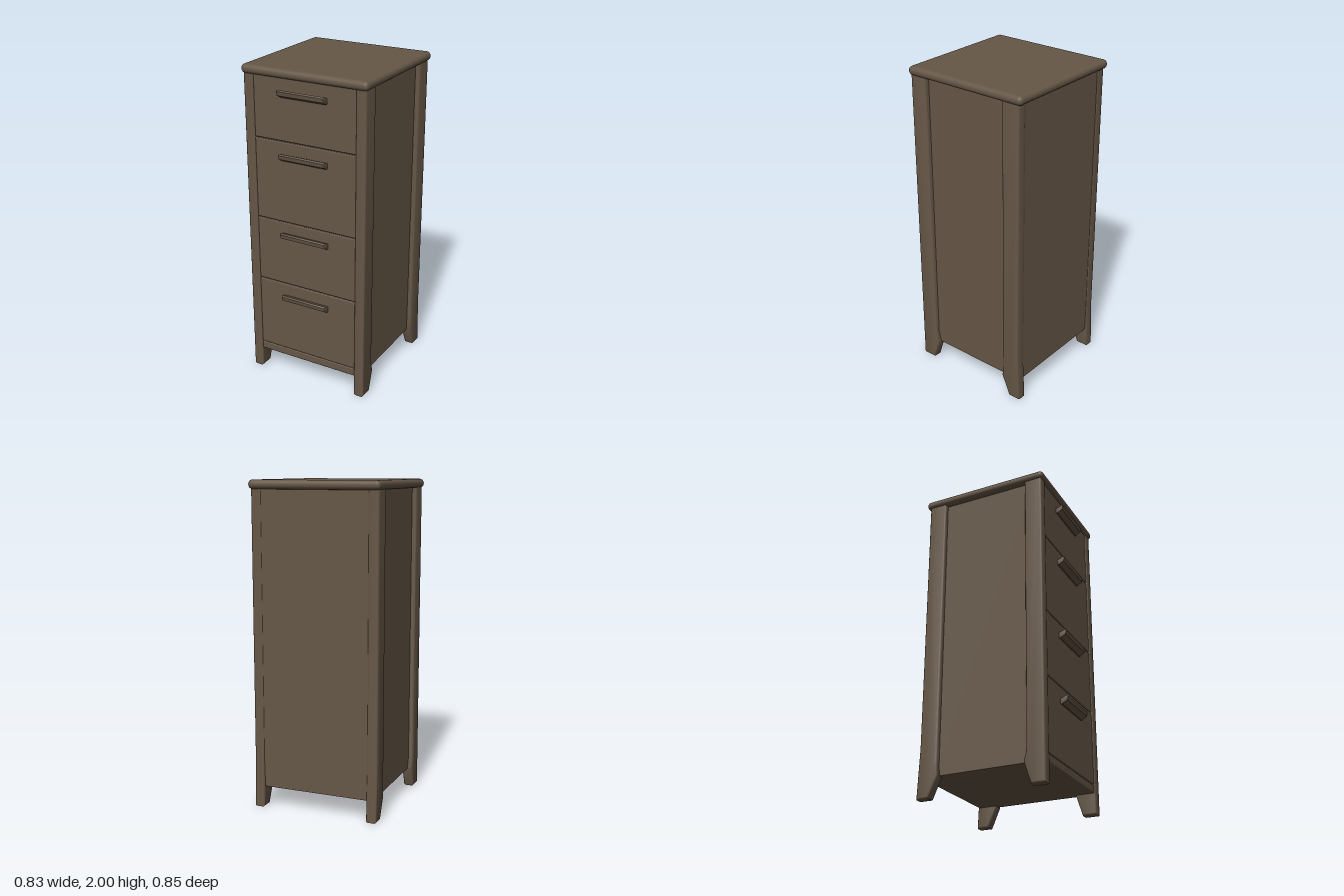
import * as THREE from 'three';
import { toCreasedNormals } from 'three/addons/utils/BufferGeometryUtils.js';
import { RoundedBoxGeometry } from 'three/addons/geometries/RoundedBoxGeometry.js';

export function createModel() {
  const model = new THREE.Group();
  model.name = 'drawerCabinet';
  const wood = new THREE.MeshStandardMaterial({ color: 0x665747 });
  wood.name = 'brown wood';

  const add = (name, geometry, x = 0, y = 0, z = 0) => {
    const mesh = new THREE.Mesh(geometry, wood);
    mesh.name = name;
    mesh.position.set(x, y, z);
    model.add(mesh);
    return mesh;
  };

  // Box given by its limits, with rounded edges if r > 0
  const box = (name, x0, x1, y0, y1, z0, z1, r = 0) => {
    const size = [x1 - x0, y1 - y0, z1 - z0];
    const geometry = r > 0 ? new RoundedBoxGeometry(...size, 3, r) : new THREE.BoxGeometry(...size);
    return add(name, geometry, (x0 + x1) / 2, (y0 + y1) / 2, (z0 + z1) / 2);
  };

  // Side profile of [z, y] points, extruded along x with soft edges
  const profile = (points, width, bevel) => {
    const shape = new THREE.Shape(points.map(([z, y]) => new THREE.Vector2(z, y)));
    const geometry = new THREE.ExtrudeGeometry(shape, {
      depth: width - 2 * bevel, bevelEnabled: true, bevelThickness: bevel,
      bevelSize: bevel, bevelOffset: -bevel, bevelSegments: 3,
    });
    geometry.translate(0, 0, -(width - 2 * bevel) / 2);
    geometry.rotateY(-Math.PI / 2);
    return toCreasedNormals(geometry, 0.6);
  };

  // Table top
  box('top', -0.413, 0.413, 1.945, 2, -0.425, 0.402, 0.026);

  // Corner posts with tapered feet
  const frontPost = profile([
    [0.3, 0], [0.388, 0], [0.388, 1.96], [0.275, 1.96], [0.275, 0.2], [0.258, 0.13],
  ], 0.066, 0.012);
  const backPost = profile([
    [-0.415, 0], [-0.338, 0], [-0.282, 0.13], [-0.286, 0.2], [-0.286, 1.96], [-0.402, 1.96], [-0.402, 0.3],
  ], 0.066, 0.012);
  for (const [side, s] of [['left', 1], ['right', -1]]) {
    add(side + 'FrontPost', frontPost, s * 0.368);
    add(side + 'BackPost', backPost, s * 0.368);
    // Recessed side panel
    box(side + 'Panel', s * 0.36 - 0.012, s * 0.36 + 0.012, 0.13, 1.95, -0.32, 0.32);
  }

  // Back panel, floor, carcass front and bottom rail
  box('backPanel', -0.35, 0.35, 0.13, 1.95, -0.398, -0.37);
  box('floor', -0.36, 0.36, 0.13, 0.16, -0.38, 0.365);
  box('carcassFront', -0.345, 0.345, 0.13, 1.95, 0.34, 0.366);
  box('bottomRail', -0.342, 0.342, 0.13, 0.18, 0.345, 0.38, 0.006);

  // Drawers, each with a slanted pull
  const edges = [0.18, 0.645, 1.06, 1.57, 1.95];
  const pullTops = [0.582, 1.005, 1.508, 1.888];
  const pull = profile([
    [0.37, -0.05], [0.39, -0.052], [0.423, -0.033], [0.428, -0.008], [0.42, 0], [0.39, -0.012], [0.37, -0.02],
  ], 0.306, 0.004);
  pullTops.forEach((top, i) => {
    box('drawer' + (i + 1), -0.338, 0.338, edges[i] + 0.003, edges[i + 1] - 0.003, 0.345, 0.381, 0.006);
    add('pull' + (i + 1), pull, 0, top, 0);
  });

  return model;
}
